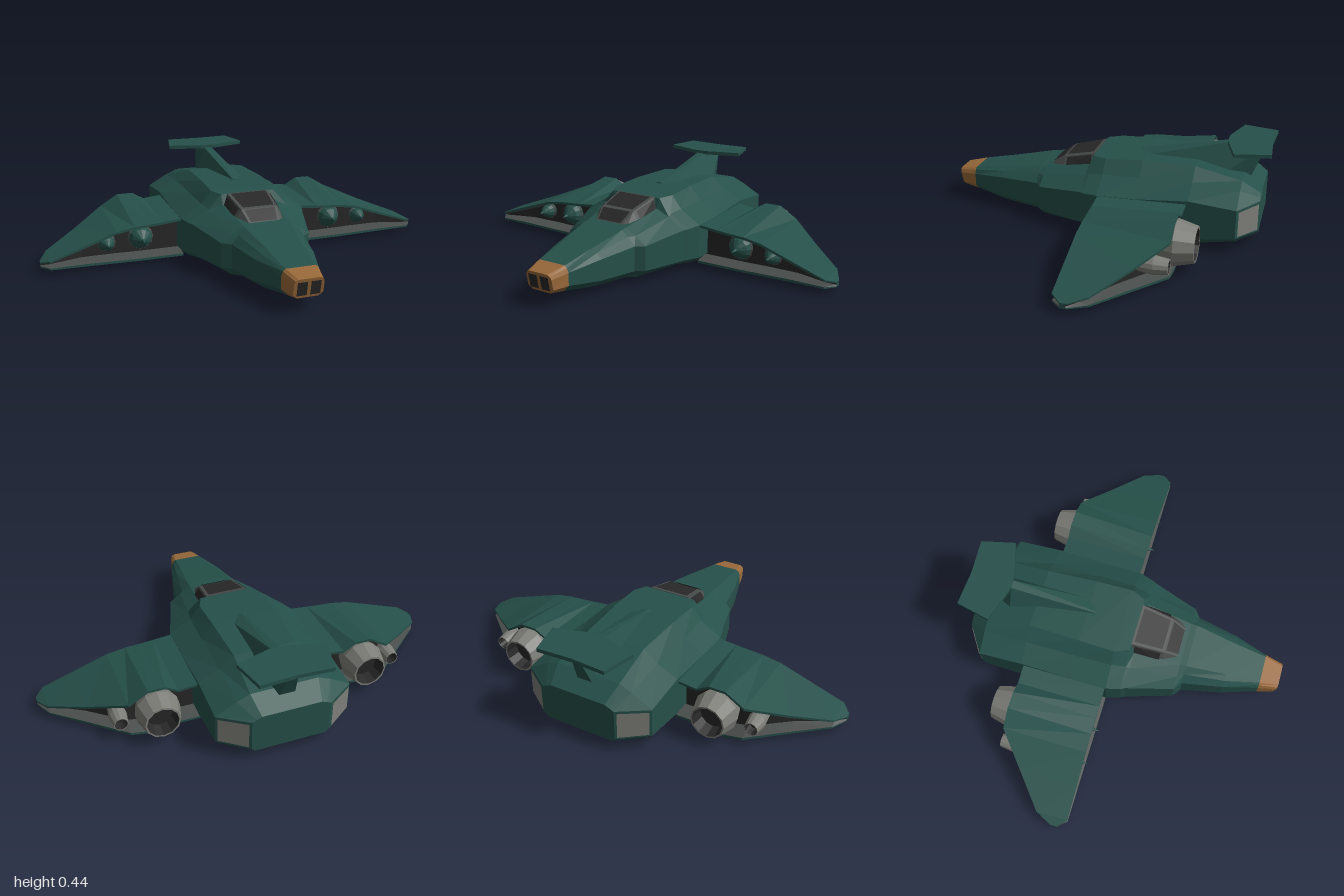
import * as THREE from 'three';

const mat = (name, color, side = THREE.FrontSide) => {
  const m = new THREE.MeshStandardMaterial({ color, side });
  m.name = name;
  return m;
};

export function createModel() {
  const model = new THREE.Group();
  const green = mat('hull green', 0x26504a);
  const gray = mat('metal gray', 0x7d7d78, THREE.DoubleSide);
  const frame = mat('frame gray', 0x484c4a);
  const dark = mat('dark interior', 0x282828, THREE.DoubleSide);
  const bronze = mat('nose bronze', 0x99693a);

  // Faceted mesh; optionally with a mirrored twin
  function add(name, geo, material, mirrored = false) {
    const flat = geo.index ? geo.toNonIndexed() : geo;
    flat.computeVertexNormals();
    const mesh = new THREE.Mesh(flat, material);
    mesh.name = name;
    model.add(mesh);
    if (!mirrored) return;
    const twin = flat.clone();
    const p = twin.attributes.position;
    for (let i = 0; i < p.count; i += 3) {
      const v = [0, 2, 1].map(k => new THREE.Vector3().fromBufferAttribute(p, i + k));
      v.forEach((q, k) => p.setXYZ(i + k, -q.x, q.y, q.z));
    }
    twin.computeVertexNormals();
    const other = new THREE.Mesh(twin, material);
    other.name = name + 'Right';
    model.add(other);
    mesh.name = name + 'Left';
  }

  const fromTriangles = pts => {
    const g = new THREE.BufferGeometry();
    g.setAttribute('position', new THREE.Float32BufferAttribute(pts.flat(), 3));
    return g;
  };

  // Skin over closed rings, limited to chosen strips, with optional end caps
  function loft(rings, { strips, front = false, back = false } = {}) {
    const t = [], n = rings[0].length;
    for (let r = 0; r < rings.length - 1; r++)
      for (let i = 0; i < n; i++) {
        if (strips && !strips.includes(i)) continue;
        const j = (i + 1) % n;
        const [a, b, c, d] = [rings[r][i], rings[r][j], rings[r + 1][j], rings[r + 1][i]];
        t.push(a, d, c, a, c, b);
      }
    const first = rings[0], last = rings[rings.length - 1];
    for (let i = 1; i < n - 1; i++) {
      if (front) t.push(first[0], first[i], first[i + 1]);
      if (back) t.push(last[0], last[i + 1], last[i]);
    }
    return fromTriangles(t);
  }

  // Thin painted plate set just above a four-cornered face
  function plate(corners, scale, lift = 0.004) {
    const v = corners.map(c => new THREE.Vector3(...c));
    const mid = v.reduce((s, q) => s.add(q), new THREE.Vector3()).multiplyScalar(0.25);
    const n = v[2].clone().sub(v[0]).cross(v[3].clone().sub(v[1])).normalize();
    const [a, b, c, d] = v.map(q =>
      q.clone().sub(mid).multiplyScalar(scale).add(mid).addScaledVector(n, lift).toArray());
    return fromTriangles([a, b, c, a, c, d]);
  }

  // Hull: z, bottom, side, shoulder and top half-widths with their heights
  const section = ([z, b, y0, w, yl, yh, s, ys, t, yt], tilt = 0) => {
    const half = [[b, y0], [w, yl], [w, yh], [s, ys], [t, yt]];
    const ring = [[-b, y0], ...half, ...half.slice(1).reverse().map(([x, y]) => [-x, y])];
    return ring.map(([x, y]) => [x, y, z + (y - 0.12) * tilt]);
  };
  const neck = section([0.70, 0.06, 0.06, 0.09, 0.09, 0.15, 0.082, 0.17, 0.07, 0.18]);
  const hull = [
    [0.53, 0.10, 0.035, 0.14, 0.07, 0.17, 0.115, 0.195, 0.085, 0.21],
    [0.33, 0.13, 0.02, 0.18, 0.06, 0.18, 0.145, 0.22, 0.11, 0.247],
    [0.30, 0.17, 0.02, 0.22, 0.06, 0.18, 0.165, 0.22, 0.11, 0.25],
    [0.07, 0.23, 0.02, 0.29, 0.055, 0.21, 0.20, 0.26, 0.135, 0.29],
    [0.05, 0.235, 0.02, 0.30, 0.055, 0.21, 0.20, 0.27, 0.135, 0.338],
    [-0.02, 0.28, 0.02, 0.32, 0.05, 0.215, 0.215, 0.28, 0.165, 0.342],
    [-0.20, 0.30, 0.02, 0.32, 0.05, 0.22, 0.22, 0.285, 0.16, 0.35],
    [-0.45, 0.30, 0.02, 0.32, 0.05, 0.24, 0.22, 0.29, 0.15, 0.345],
    [-0.67, 0.28, 0.05, 0.32, 0.08, 0.22, 0.22, 0.275, 0.16, 0.30],
    [-0.76, 0.17, 0.055, 0.185, 0.07, 0.22, 0.165, 0.23, 0.14, 0.24],
  ].map(s => section(s));
  add('hull', loft([neck, ...hull], { back: true }), green);

  // Nose cap with twin front openings
  const tip = section([0.785, 0.05, 0.072, 0.07, 0.09, 0.14, 0.063, 0.155, 0.05, 0.162], 0.2);
  add('noseCap', loft([tip, neck], { front: true }), bronze);
  const nz = y => 0.785 + (y - 0.12) * 0.2;
  add('noseOpening', plate([[0.004, 0.08, nz(0.08)], [0.058, 0.08, nz(0.08)],
    [0.058, 0.155, nz(0.155)], [0.004, 0.155, nz(0.155)]], 0.86), dark, true);

  // Gray panels on the chamfered rear corners
  const [r0, r1] = hull.slice(-2);
  add('rearPanel', plate([r0[2], r1[2], r1[3], r0[3]], 0.86), gray, true);

  // Cockpit frame and windows
  const cockpit = [[0.28, 0.10, 0.24, 0.075, 0.252], [0.21, 0.125, 0.25, 0.09, 0.302],
    [0.05, 0.135, 0.27, 0.105, 0.34]].map(([z, b, yb, t, yt]) =>
    [[-b, yb, z], [b, yb, z], [t, yt, z], [-t, yt, z]]);
  add('cockpitFrame', loft(cockpit, { front: true, back: true }), frame);
  const [c0, c1, c2] = cockpit;
  add('windscreen', plate([c0[3], c0[2], c1[2], c1[3]], 0.86), dark);
  add('roofWindow', plate([c1[3], c1[2], c2[2], c2[3]], 0.86), dark);
  add('sideWindow', plate([c1[1], c2[1], c2[2], c1[2]], 0.8), dark, true);

  // Wings: x, front z, rear z, top front/rear y, bottom front/rear y
  const wing = [
    [0.31, -0.025, -0.44, 0.215, 0.225, 0.02, 0.02],
    [0.41, -0.025, -0.44, 0.205, 0.215, 0.02, 0.02],
    [0.47, -0.025, -0.44, 0.20, 0.25, 0.02, 0.003],
    [0.55, -0.025, -0.44, 0.195, 0.25, 0.02, 0.003],
    [0.64, -0.025, -0.44, 0.18, 0.195, 0.022, 0.02],
    [0.80, -0.025, -0.31, 0.125, 0.13, 0.025, 0.025],
    [0.96, -0.025, -0.18, 0.07, 0.075, 0.027, 0.03],
    [1.00, -0.07, -0.10, 0.055, 0.055, 0.03, 0.03],
  ].map(([x, zf, zr, tf, tr, bf, br]) => {
    const d = Math.min(0.08, (zf - zr) / 4);
    const f = Math.min(0.012, (tf - bf) * 0.2), r = Math.min(0.012, (tr - br) * 0.2);
    return [
      [tf, zf], [tr, zr], [tr - r, zr], [tr - 2 * r, zr + d], [br + 2 * r, zr + d], [br + r, zr],
      [br, zr], [bf, zf], [bf + f, zf], [bf + 2 * f, zf - d], [tf - 2 * f, zf - d], [tf - f, zf],
    ].map(([y, z]) => [x, y, z]);
  });
  add('wingSkin', loft(wing, { strips: [0, 1, 5, 6, 7, 11], back: true }), green, true);
  add('wingOpeningFrame', loft(wing, { strips: [2, 4, 8, 10] }), frame, true);
  add('wingOpening', loft(wing, { strips: [3, 9] }), dark, true);

  // Engines: intake dome in front, nozzle behind
  const lathe = (pts, x, y, back) => new THREE.LatheGeometry(
    pts.map(p => new THREE.Vector2(...p)), 12)
    .rotateX(back ? -Math.PI / 2 : Math.PI / 2).translate(x, y, 0);
  const engines = [
    { name: 'main', x: 0.51, y: 0.12, r: 0.058, ny: 0.13, nr: 0.105, z: 0.44, len: 0.09 },
    { name: 'small', x: 0.68, y: 0.11, r: 0.04, ny: 0.10, nr: 0.042, z: 0.38, len: 0.065 },
  ];
  for (const { name, x, y, r, ny, nr, z, len } of engines) {
    add(name + 'IntakeDome', lathe([[r, -0.11], [r, -0.085], [r * 0.8, -0.06],
      [r * 0.4, -0.04], [r * 0.15, -0.03], [0, r * 0.8 - 0.04]], x, y, false), green, true);
    add(name + 'IntakeRing', new THREE.TorusGeometry(r, 0.006, 4, 12)
      .translate(x, y, -0.09), frame, true);
    const end = z + len;
    add(name + 'Nozzle', lathe([[nr * 0.8, z - 0.07], [nr, z], [nr * 0.78, end],
      [nr * 0.7, end]], x, ny, true), gray, true);
    add(name + 'Exhaust', lathe([[nr * 0.72, end - 0.002], [nr * 0.6, end - len * 0.7],
      [0, end - len * 0.7]], x, ny, true), dark, true);
  }

  // Tail pylon: base width/height/z, then top width/height/z
  const pylon = [[0.07, 0.335, -0.16, 0.004, 0.353, -0.16], [0.085, 0.30, -0.58, 0.02, 0.43, -0.58],
    [0.04, 0.26, -0.69, 0.02, 0.43, -0.76]].map(([b, yb, zb, t, yt, zt]) =>
    [[-b, yb, zb], [b, yb, zb], [t, yt, zt], [-t, yt, zt]]);
  add('tailPylon', loft(pylon, { front: true, back: true }), green);

  // Tailplane
  const outline = [[0, 0.785], [-0.17, 0.795], [-0.208, 0.63], [-0.04, 0.58],
    [0.04, 0.58], [0.208, 0.63], [0.17, 0.795]];
  const tail = new THREE.Shape(outline.map(p => new THREE.Vector2(...p)));
  add('tailplane', new THREE.ExtrudeGeometry(tail, { depth: 0.018, bevelEnabled: false })
    .rotateX(-Math.PI / 2).translate(0, 0.427, 0), green);

  return model;
}
